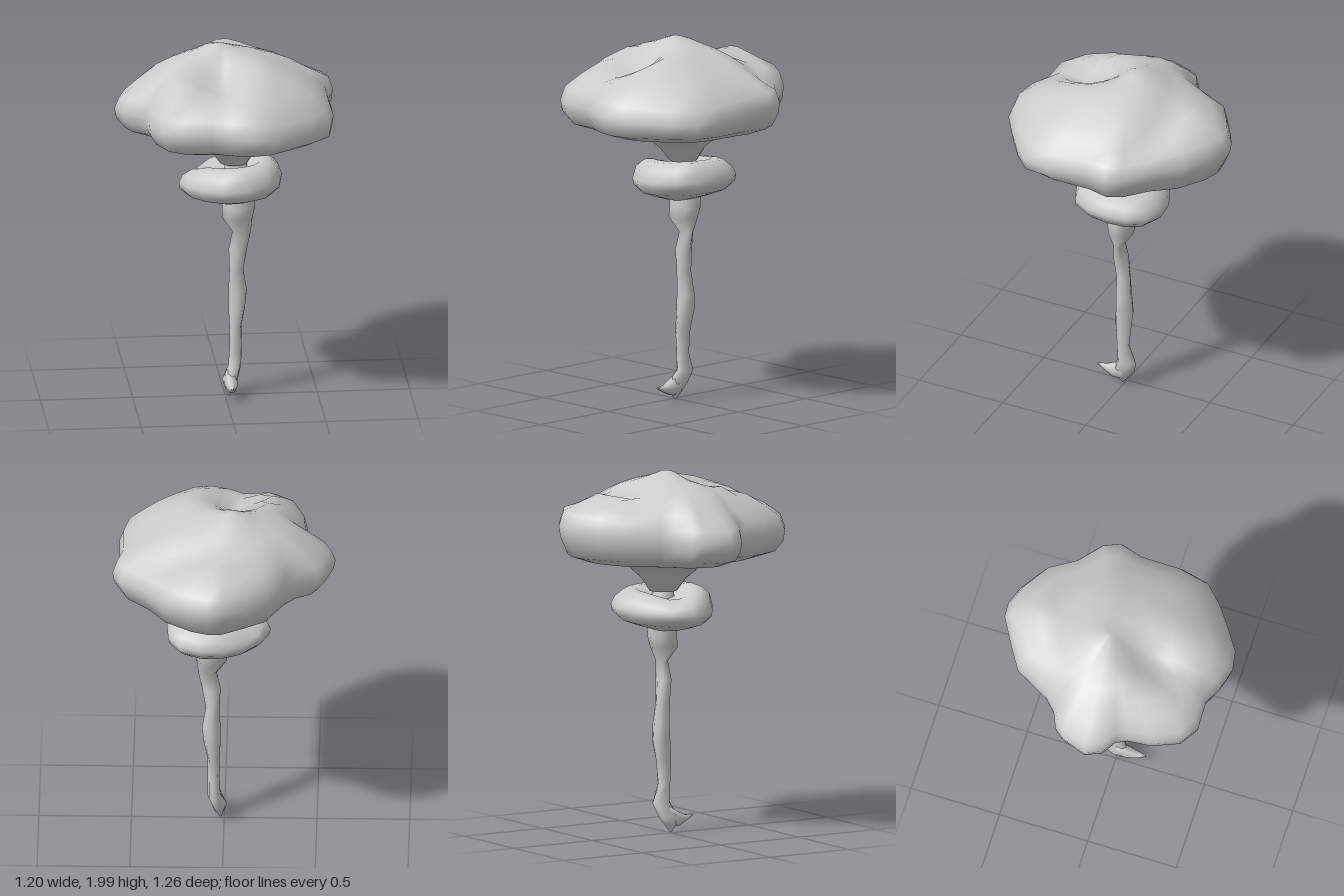
import * as THREE from 'three';

const material = new THREE.MeshStandardMaterial({ color: 0xcccccc });

// Closed skin over rings of points (listed bottom to top, each running from +x toward +z)
function loft(name, rings) {
  const n = rings[0].length;
  const pos = rings.flat(2);
  const idx = [];
  for (let j = 0; j < rings.length - 1; j++) {
    for (let i = 0; i < n; i++) {
      const a = j * n + i, b = j * n + (i + 1) % n;
      idx.push(a, a + n, b, b, a + n, b + n);
    }
  }
  // End caps
  const addCap = (ring, start, up) => {
    const c = [0, 1, 2].map(k => ring.reduce((s, p) => s + p[k], 0) / n);
    const ci = pos.length / 3;
    pos.push(...c);
    for (let i = 0; i < n; i++) {
      const a = start + i, b = start + (i + 1) % n;
      if (up) idx.push(ci, b, a); else idx.push(ci, a, b);
    }
  };
  addCap(rings[0], 0, false);
  addCap(rings[rings.length - 1], (rings.length - 1) * n, true);
  const g = new THREE.BufferGeometry();
  g.setAttribute('position', new THREE.Float32BufferAttribute(pos, 3));
  g.setIndex(idx);
  g.computeVertexNormals();
  const mesh = new THREE.Mesh(g, material);
  mesh.name = name;
  return mesh;
}

// Lumpy plan outline of the cloud cap, as x, z
const capOutline = [
  [0.6, -0.16], [0.565, -0.03], [0.57, 0.2], [0.54, 0.35], [0.44, 0.45], [0.33, 0.53],
  [0.21, 0.61], [0.1, 0.63], [-0.02, 0.6], [-0.12, 0.55], [-0.28, 0.555], [-0.38, 0.49],
  [-0.44, 0.34], [-0.45, 0.21], [-0.48, 0.15], [-0.56, 0.1], [-0.6, 0.01], [-0.55, -0.13],
  [-0.51, -0.18], [-0.42, -0.22], [-0.35, -0.29], [-0.25, -0.48], [-0.13, -0.555],
  [0, -0.63], [0.08, -0.635], [0.18, -0.6], [0.33, -0.5], [0.43, -0.36], [0.56, -0.25],
];

// Ridges and hollows on top of the cap: x, z, height, spread in x, spread in z
const bumps = [
  [-0.5, 0, -0.03, 0.15, 0.2], [0.18, 0.15, 0.015, 0.07, 0.2], [-0.06, 0.24, -0.11, 0.12, 0.16],
  [-0.05, -0.05, 0.04, 0.1, 0.1], [0.05, -0.31, -0.05, 0.35, 0.08], [0.05, -0.46, 0.035, 0.25, 0.09],
  [0.4, 0, -0.02, 0.15, 0.3], [-0.24, 0.15, 0.02, 0.07, 0.15],
];

function buildCap() {
  // Scale of the outline and height
  const levels = [
    [0.13, 1.33], [0.21, 1.4], [0.37, 1.485], [0.55, 1.5], [0.74, 1.515], [0.92, 1.555], [0.985, 1.61],
    [1, 1.67], [0.96, 1.745], [0.83, 1.81], [0.68, 1.87], [0.52, 1.91], [0.36, 1.935], [0.2, 1.955], [0.07, 1.965],
  ];
  return loft('cloudCap', levels.map(([s, y], j) => capOutline.map(([ox, oz]) => {
    const round = Math.min(1, 1.1 * (1 - s));  // inner rings lose the lobes
    const f = 1 + round * (0.58 / Math.hypot(ox, oz) - 1);
    const x = ox * s * f + (j < 7 ? 0.055 : -0.01) * (1 - s);
    const z = oz * s * f - 0.02 * (1 - s);
    let h = y;
    if (j > 6) {
      const w = Math.min(1, (y - 1.62) / 0.15);
      for (const [bx, bz, a, rx, rz] of bumps) {
        h += w * a * Math.exp(-(((x - bx) / rx) ** 2) - ((z - bz) / rz) ** 2);
      }
    }
    // The rim rides higher at the back and droops on one diagonal
    if (j > 5 && j < 9) h += 0.045 * Math.max(0, -oz / 0.63) - 0.16 * Math.max(0, ox * oz);
    return [x, h, z];
  })));
}

// Plan outline of the collar, as x, z
const collarOutline = [
  [0.31, -0.02], [0.29, 0.1], [0.23, 0.2], [0.1, 0.255], [-0.03, 0.25], [-0.14, 0.18], [-0.22, 0.09],
  [-0.25, 0], [-0.2, -0.11], [-0.11, -0.2], [0, -0.255], [0.13, -0.27], [0.24, -0.23], [0.3, -0.14],
];

function buildCollar() {
  // Scale and height; the top folds in to a hollow around the neck
  const levels = [[0.3, 1.12], [0.6, 1.145], [0.85, 1.17], [0.98, 1.205], [1, 1.24],
    [0.93, 1.295], [0.76, 1.335], [0.56, 1.34], [0.38, 1.315], [0.26, 1.3]];
  return loft('collarRing', levels.map(([s, y], j) => collarOutline.map(([ox, oz]) => {
    const x = 0.045 + (ox - 0.045) * s;
    const z = oz * s;
    // The top sinks on one side and dips at the back
    const top = j > 4 ? 0.05 * z - 0.04 * Math.exp(-(((x + 0.14) / 0.1) ** 2) - ((z + 0.07) / 0.12) ** 2) : 0;
    return [x, y + 0.05 * (x - 0.035) + top, z];
  })));
}

function buildStem() {
  // Height, x range, z range
  const rows = [
    [0.01, 0.015, 0.025, 0.01, 0.02], [0.05, 0, 0.05, -0.02, 0.05], [0.1, -0.015, 0.07, -0.06, 0.06],
    [0.17, 0.02, 0.09, -0.08, 0.03], [0.27, 0.025, 0.09, -0.04, 0.03], [0.4, 0.025, 0.09, -0.055, 0.04],
    [0.5, 0.02, 0.11, -0.07, 0.035], [0.6, 0.02, 0.12, -0.06, 0.028], [0.72, 0.025, 0.1, -0.05, 0.03],
    [0.84, 0.02, 0.12, -0.04, 0.04], [0.94, 0.04, 0.14, -0.025, 0.025], [1.02, -0.015, 0.15, -0.075, 0.075],
    [1.08, -0.015, 0.165, -0.085, 0.07], [1.16, -0.02, 0.155, -0.09, 0.07], [1.36, 0.005, 0.11, -0.065, 0.045],
  ];
  const n = 8;
  return loft('stem', rows.map(([y, x0, x1, z0, z1]) => Array.from({ length: n }, (_, i) => {
    const t = i / n * Math.PI * 2;
    return [(x0 + x1) / 2 + (x1 - x0) / 2 * Math.cos(t), y, (z0 + z1) / 2 + (z1 - z0) / 2 * Math.sin(t)];
  })));
}

function buildToe() {
  // Small curled point at the foot: centre y, z, half width, half height
  const rows = [[0.092, 0.16, 0.004, 0.004], [0.08, 0.11, 0.022, 0.02], [0.08, 0.06, 0.035, 0.045], [0.1, 0, 0.04, 0.06]];
  return loft('toe', rows.map(([y, z, w, h]) => Array.from({ length: 6 }, (_, i) => {
    const t = i / 6 * Math.PI * 2;
    return [0.03 + w * Math.cos(t), y + h * Math.sin(t), z];
  })));
}

export function createModel() {
  const group = new THREE.Group();
  group.name = 'mushroomCloud';
  group.add(buildCap(), buildCollar(), buildStem(), buildToe());
  return group;
}
